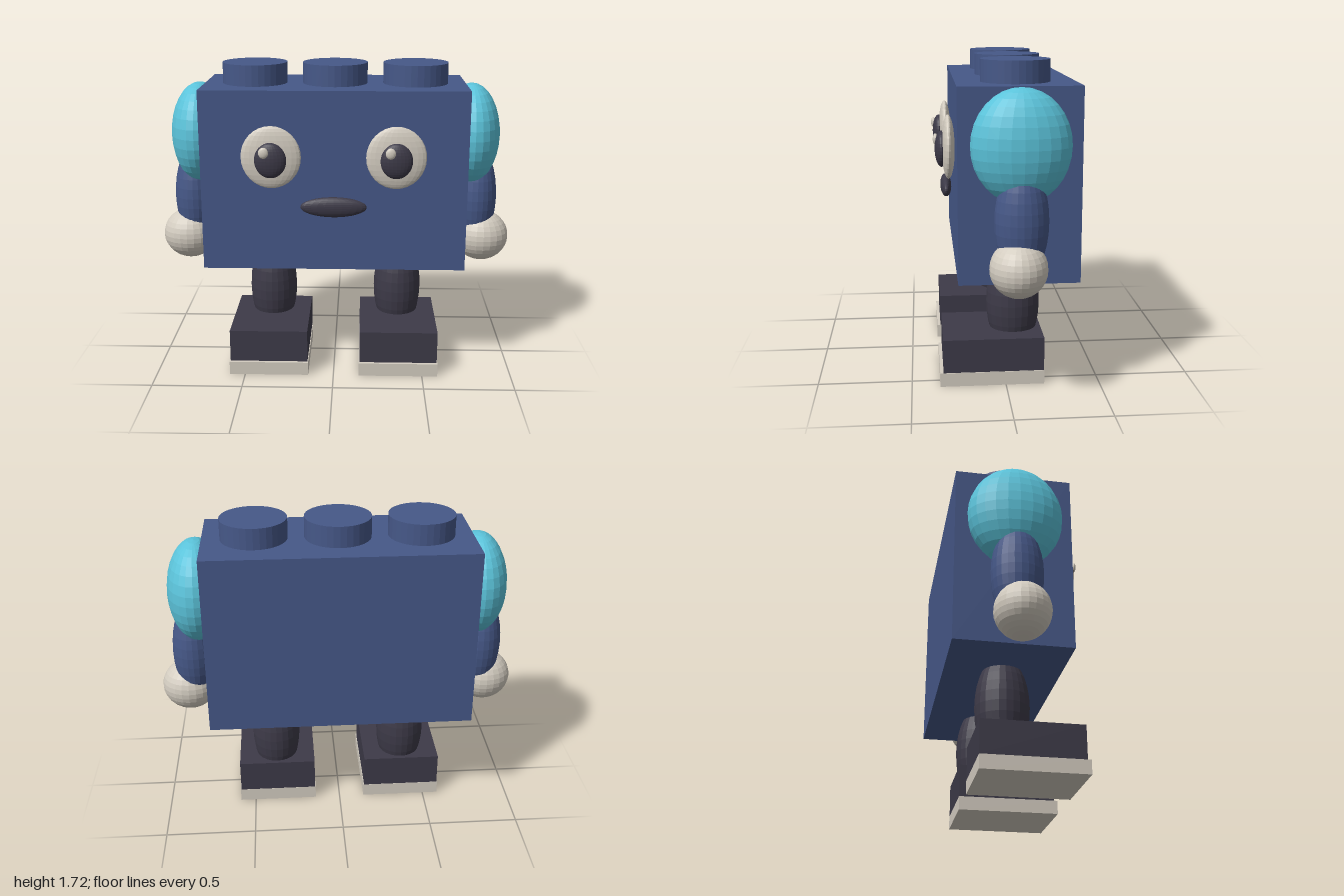
import * as THREE from 'three';

const mat = (name, color) => {
  const m = new THREE.MeshStandardMaterial({ color, flatShading: true });
  m.name = name;
  return m;
};

export function createModel() {
  const blue = mat('brick blue', 0x465888);
  const teal = mat('shoulder teal', 0x5bc3da);
  const cream = mat('cream', 0xd3ccc0);
  const dark = mat('charcoal', 0x3d3a48);

  const root = new THREE.Group();
  root.name = 'brickRobot';

  const add = (name, geometry, material, x, y, z) => {
    const mesh = new THREE.Mesh(geometry, material);
    mesh.name = name;
    mesh.position.set(x, y, z);
    root.add(mesh);
    return mesh;
  };
  // Box given by its centre x, width, and y and z ranges
  const box = (name, material, x, w, y0, y1, z0, z1) =>
    add(name, new THREE.BoxGeometry(w, y1 - y0, z1 - z0), material, x, (y0 + y1) / 2, (z0 + z1) / 2);
  // Faceted ellipsoid given by centre and radii
  const ellipsoid = (name, material, [x, y, z], [rx, ry, rz]) =>
    add(name, new THREE.SphereGeometry(1, 24, 16).scale(rx, ry, rz), material, x, y, z);

  // Brick body with three studs on top
  box('body', blue, 0, 1.45, 0.605, 1.6, -0.365, 0.255);
  for (const x of [-0.447, 0, 0.447]) {
    add('stud', new THREE.CylinderGeometry(0.18, 0.18, 0.135, 32), blue, x, 1.6475, -0.055);
  }

  // Mouth
  ellipsoid('mouth', dark, [0, 0.975, 0.293], [0.18, 0.056, 0.031]);

  for (const s of [-1, 1]) {
    const side = s > 0 ? 'left' : 'right';

    // Eye, with the highlight on the same side of both pupils
    ellipsoid(side + 'Eye', cream, [s * 0.336, 1.248, 0.287], [0.162, 0.17, 0.035]);
    ellipsoid(side + 'Pupil', dark, [s * 0.336, 1.238, 0.322], [0.086, 0.096, 0.036]);
    ellipsoid(side + 'EyeHighlight', cream, [s * 0.336 - 0.033, 1.285, 0.353], [0.027, 0.03, 0.014]);

    // Arm
    ellipsoid(side + 'Shoulder', teal, [s * 0.765, 1.315, -0.055], [0.16, 0.285, 0.25]);
    ellipsoid(side + 'Arm', blue, [s * 0.805, 0.95, -0.054], [0.12, 0.29, 0.135]);
    ellipsoid(side + 'Hand', cream, [s * 0.845, 0.722, -0.036], [0.155, 0.145, 0.145]);

    // Leg, shoe and sole
    ellipsoid(side + 'Leg', dark, [s * 0.365, 0.4, -0.055], [0.136, 0.3, 0.145]);
    box(side + 'Shoe', dark, s * 0.365, 0.436, 0.075, 0.257, -0.204, 0.332);
    box(side + 'Sole', cream, s * 0.365, 0.444, 0, 0.075, -0.205, 0.35);
  }
  return root;
}
